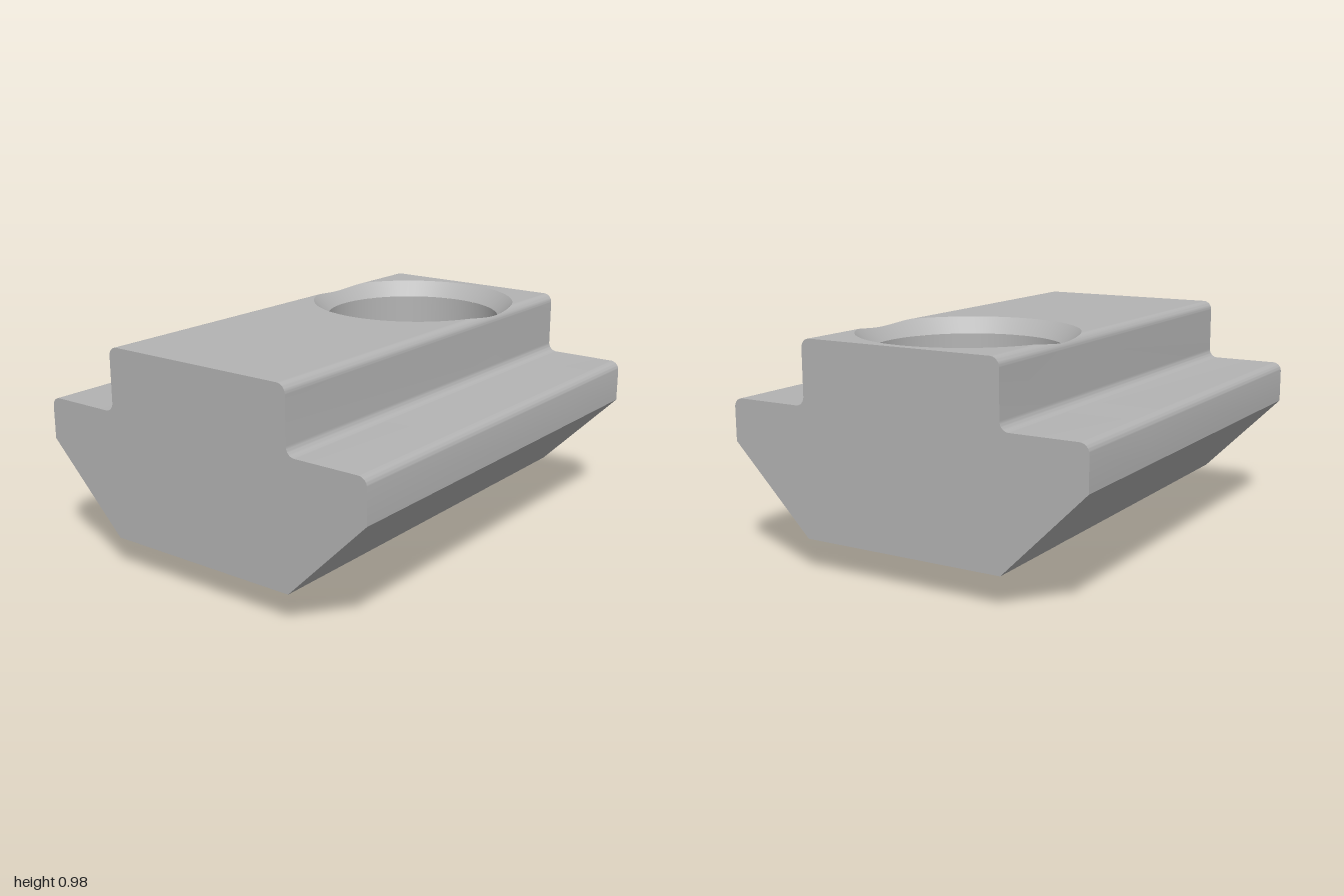
import * as THREE from 'three';
import { toCreasedNormals } from 'three/addons/utils/BufferGeometryUtils.js';

// Main dimensions
const TOP = 0.978, LEDGE = 0.7, WAIST = 0.514, BOTTOM = 0.144;
const HEAD = 0.463, WIDE = 0.835, FILLET = 0.04, LENGTH = 2;
const HOLE_Z = -0.492, HOLE_R = 0.4, RIM_R = 0.4675, CHAMFER = RIM_R - HOLE_R;

// Half width (in z) of the countersunk hole where it cuts the skin at (x, y)
function holeHalf(x, y) {
  let depth;
  if (y > 0.85) depth = TOP - y;
  else if (y < 0.25) depth = y - BOTTOM;
  else return 0;
  const r = RIM_R - depth;
  return Math.sqrt(Math.max(0, r * r - x * x));
}

// Cross-section, counter-clockwise, from bottom centre up the right side, then mirrored
function makeProfile() {
  const half = [];
  const add = (x, y) => half.push(new THREE.Vector2(x, y));
  const arc = (cx, cy, a0, a1, n, ease = (t) => t) => {
    for (let i = 0; i <= n; i++) {
      const a = a0 + (a1 - a0) * ease(i / n);
      add(cx + FILLET * Math.cos(a), cy + FILLET * Math.sin(a));
    }
  };
  const n = 28;
  // flat bottom, denser toward the edge
  for (let i = 0; i <= n; i++) add(HEAD * Math.sin((Math.PI / 2) * i / n), BOTTOM);
  // sloped flank, with the short piece nicked by the lower countersink
  const slope = (WAIST - BOTTOM) / (WIDE - HEAD);
  const nick = (RIM_R - HEAD) / (1 + slope);
  for (let i = 1; i <= 5; i++) {
    const t = nick * (1 - (1 - i / 5) ** 2);
    add(HEAD + t, BOTTOM + t * slope);
  }
  add(WIDE, WAIST);
  // flange edge, ledge and inner fillet
  arc(WIDE - FILLET, LEDGE - FILLET, 0, Math.PI / 2, 10);
  arc(HEAD + FILLET, LEDGE + FILLET, Math.PI * 1.5, Math.PI, 10);
  // upper fillet, split where the countersink touches it
  const cx = HEAD - FILLET, cy = TOP - FILLET;
  const touch = Math.PI / 4 - Math.asin((RIM_R - HEAD) / (FILLET * Math.SQRT2));
  arc(cx, cy, 0, touch, 6);
  half.pop();
  arc(cx, cy, touch, Math.PI / 2, 14, (t) => t * t);
  // flat top
  for (let i = 1; i <= n; i++) add(cx * Math.cos((Math.PI / 2) * i / n), TOP);
  const mirrored = half.slice(1, -1).reverse().map((p) => new THREE.Vector2(-p.x, p.y));
  return [...half, ...mirrored];
}

function geometryFrom(positions) {
  const g = new THREE.BufferGeometry();
  g.setAttribute('position', new THREE.Float32BufferAttribute(positions, 3));
  return toCreasedNormals(g, 0.5);
}

export function createModel() {
  const group = new THREE.Group();
  group.name = 'slotNut';
  const steel = new THREE.MeshStandardMaterial({ color: 0xb3b3b3 });
  steel.name = 'steel grey';
  const addPart = (name, geometry) => {
    const mesh = new THREE.Mesh(geometry, steel);
    mesh.name = name;
    group.add(mesh);
    return mesh;
  };

  const profile = makeProfile();
  const skin = [], rim = [];
  const quad = (out, a, b, c, d) => out.push(...a, ...b, ...c, ...a, ...c, ...d);

  // Point on the bore directly inside a rim point
  const inner = (p, z) => {
    const a = Math.atan2(z, p.x);
    const y = p.y > 0.5 ? TOP - CHAMFER : BOTTOM + CHAMFER;
    return [HOLE_R * Math.cos(a), y, HOLE_Z + HOLE_R * Math.sin(a)];
  };

  // Sweep the section lengthways, leaving the hole open, and chamfer its rims
  profile.forEach((p, i) => {
    const q = profile[(i + 1) % profile.length];
    const hp = holeHalf(p.x, p.y), hq = holeHalf(q.x, q.y);
    const at = (v, z) => [v.x, v.y, z];
    const end = LENGTH / 2;
    quad(skin, at(p, -end), at(q, -end), at(q, HOLE_Z - hq), at(p, HOLE_Z - hp));
    quad(skin, at(p, HOLE_Z + hp), at(q, HOLE_Z + hq), at(q, end), at(p, end));
    if (Math.max(hp, hq) < 1e-4) return;
    quad(rim, at(p, HOLE_Z + hp), inner(p, hp), inner(q, hq), at(q, HOLE_Z + hq));
    quad(rim, at(p, HOLE_Z - hp), at(q, HOLE_Z - hq), inner(q, -hq), inner(p, -hp));
  });
  addPart('body', geometryFrom(skin));
  addPart('holeChamfers', geometryFrom(rim));

  // Flat ends
  const endShape = new THREE.ShapeGeometry(new THREE.Shape(profile));
  addPart('frontEnd', endShape).position.z = LENGTH / 2;
  const back = addPart('backEnd', endShape);
  back.position.z = -LENGTH / 2;
  back.rotation.y = Math.PI;

  // Bore wall, facing inward
  const wall = [
    new THREE.Vector2(HOLE_R, TOP - CHAMFER),
    new THREE.Vector2(HOLE_R, BOTTOM + CHAMFER),
  ];
  addPart('boreWall', new THREE.LatheGeometry(wall, 96)).position.z = HOLE_Z;

  // Spring ball showing below the base
  const ballR = 0.225;
  const start = Math.acos((BOTTOM - ballR) / ballR);
  const ball = new THREE.SphereGeometry(ballR, 48, 20, 0, Math.PI * 2, start, Math.PI - start);
  addPart('springBall', ball).position.set(0, ballR, 0.58);

  return group;
}
